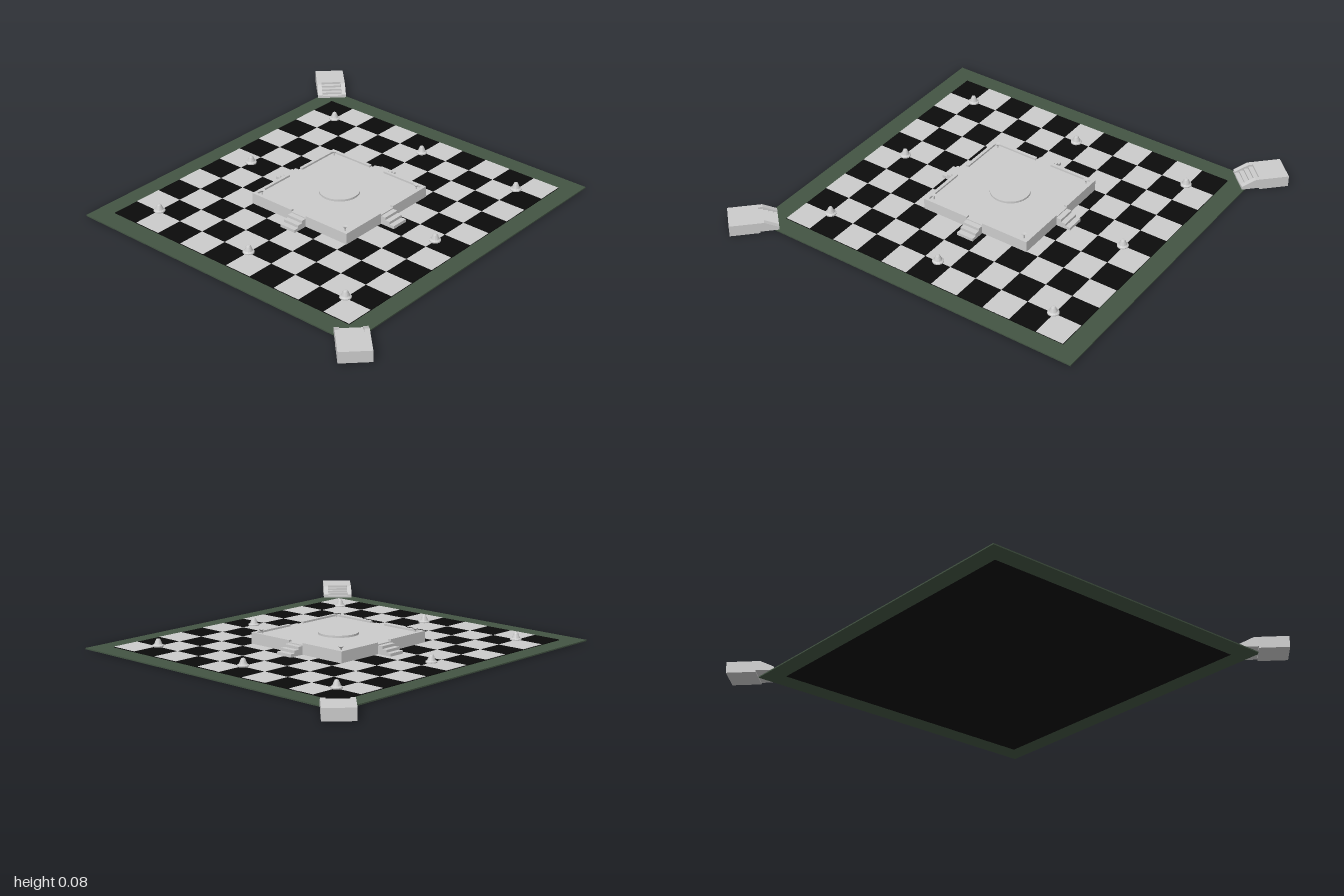
import * as THREE from 'three';

const paint = (color) => new THREE.MeshStandardMaterial({ color, flatShading: true });
const grey = paint(0xcccccc);
const black = paint(0x0b0b0b);
const green = paint(0x435443);

function add(parent, name, geometry, material, x = 0, y = 0, z = 0) {
  const mesh = new THREE.Mesh(geometry, material);
  mesh.name = name;
  mesh.position.set(x, y, z);
  parent.add(mesh);
  return mesh;
}

// box given by its bottom and top heights
function block(parent, name, w, d, y0, y1, x, z, material = grey) {
  return add(parent, name, new THREE.BoxGeometry(w, y1 - y0, d), material, x, (y0 + y1) / 2, z);
}

function rectangle(w, d, Type) {
  const r = new Type();
  r.moveTo(-w / 2, -d / 2);
  r.lineTo(w / 2, -d / 2);
  r.lineTo(w / 2, d / 2);
  r.lineTo(-w / 2, d / 2);
  r.closePath();
  return r;
}

// checkered floor with a green border
function buildBoard() {
  const g = new THREE.Group();
  g.name = 'board';
  const cols = 11, rows = 10, w = 1.518, d = 1.41;
  const outline = rectangle(1.71, 1.59, THREE.Shape);
  outline.holes.push(rectangle(w, d, THREE.Path));
  const border = new THREE.ExtrudeGeometry(outline, { depth: 0.006, bevelEnabled: false });
  add(g, 'border', border.rotateX(-Math.PI / 2), green, 0, 0.002, 0);
  block(g, 'blackFloor', w, d, 0.002, 0.012, 0, 0, black);
  for (let i = 0; i < cols; i++) {
    for (let j = 0; j < rows; j++) {
      if ((i + j) % 2 === 0) continue;
      block(g, 'lightTile', w / cols, d / rows, 0.011, 0.0128,
        ((i + 0.5) / cols - 0.5) * w, ((j + 0.5) / rows - 0.5) * d);
    }
  }
  return g;
}

// raised square platform: parapet with gaps, four stairs, central dais, corner bowls
function buildPlatform() {
  const g = new THREE.Group();
  g.name = 'platform';
  const half = 0.285, gap = 0.043, floor = 0.058, top = 0.067, rim = 0.016;
  block(g, 'platformBase', half * 2, half * 2, 0.01, floor, 0, 0);
  add(g, 'dais', new THREE.CylinderGeometry(0.096, 0.096, 0.012, 40), grey, 0, floor + 0.004, 0);
  for (let k = 0; k < 4; k++) {
    const side = new THREE.Group();
    side.name = 'platformSide';
    side.rotation.y = k * Math.PI / 2;
    g.add(side);
    for (const s of [-1, 1]) {
      block(side, 'parapet', half - gap, rim, floor - 0.002, top, s * (half + gap) / 2, half - rim / 2);
    }
    [[0.36, 0.027], [0.335, 0.04], [0.31, 0.053]].forEach(([reach, h]) => {
      block(side, 'step', gap * 2, reach - 0.27, 0.01, h, 0, (reach + 0.27) / 2);
    });
    const bowl = [[0, 0], [0.004, 0], [0.004, 0.013], [0.013, 0.022], [0, 0.02]]
      .map(([x, y]) => new THREE.Vector2(x, y));
    add(side, 'cornerBowl', new THREE.LatheGeometry(bowl, 12), grey, 0.251, floor, 0.254);
  }
  return g;
}

// small turned marker standing on the floor
function buildMarker(x, z) {
  const profile = [[0, 0], [0.027, 0], [0.027, 0.006], [0.019, 0.011], [0.011, 0.031], [0.008, 0.036], [0, 0.037]]
    .map(([r, y]) => new THREE.Vector2(r, y));
  const m = new THREE.Mesh(new THREE.LatheGeometry(profile, 14), grey);
  m.name = 'marker';
  m.position.set(x, 0.012, z);
  return m;
}

// corner entrance: solid block with a stair running down between sloped cheek walls
function buildEntrance(x, z, angle) {
  const g = new THREE.Group();
  g.name = 'cornerEntrance';
  g.position.set(x, 0, z);
  g.rotation.y = angle;
  const w = 0.144, back = -0.113, edge = 0.027, end = 0.113, top = 0.055, wall = 0.022;
  block(g, 'entranceBlock', w, edge - back, 0, top, 0, (edge + back) / 2);
  const cheek = new THREE.Shape([[edge, 0.008], [end, 0.008], [end, 0.024], [edge + 0.02, top], [edge, top]]
    .map(([a, b]) => new THREE.Vector2(-a, b)));
  for (const s of [-1, 1]) {
    const geo = new THREE.ExtrudeGeometry(cheek, { depth: wall, bevelEnabled: false });
    geo.translate(0, 0, -wall / 2).rotateY(Math.PI / 2);
    add(g, 'cheekWall', geo, grey, s * (w - wall) / 2, 0, 0);
  }
  const steps = 4, run = (end - edge) / steps;
  for (let i = 0; i < steps; i++) {
    block(g, 'entranceStep', w - wall * 2, run, 0.008, 0.045 - i * 0.009, 0, edge + (i + 0.5) * run);
  }
  return g;
}

export function createModel() {
  const model = new THREE.Group();
  model.name = 'checkeredCourt';
  const court = new THREE.Group();
  court.name = 'court';
  court.position.x = -0.006;
  court.add(buildBoard(), buildPlatform());
  for (const i of [-1, 0, 1]) {
    for (const j of [-1, 0, 1]) {
      // the middle of each side stands on the axis; the platform fills the centre
      if (i || j) court.add(buildMarker(i * 0.615, j * 0.562));
    }
  }
  model.add(court);
  model.add(buildEntrance(-0.869, 0.814, Math.PI * 0.75));
  model.add(buildEntrance(0.869, -0.814, -Math.PI * 0.25));
  return model;
}
